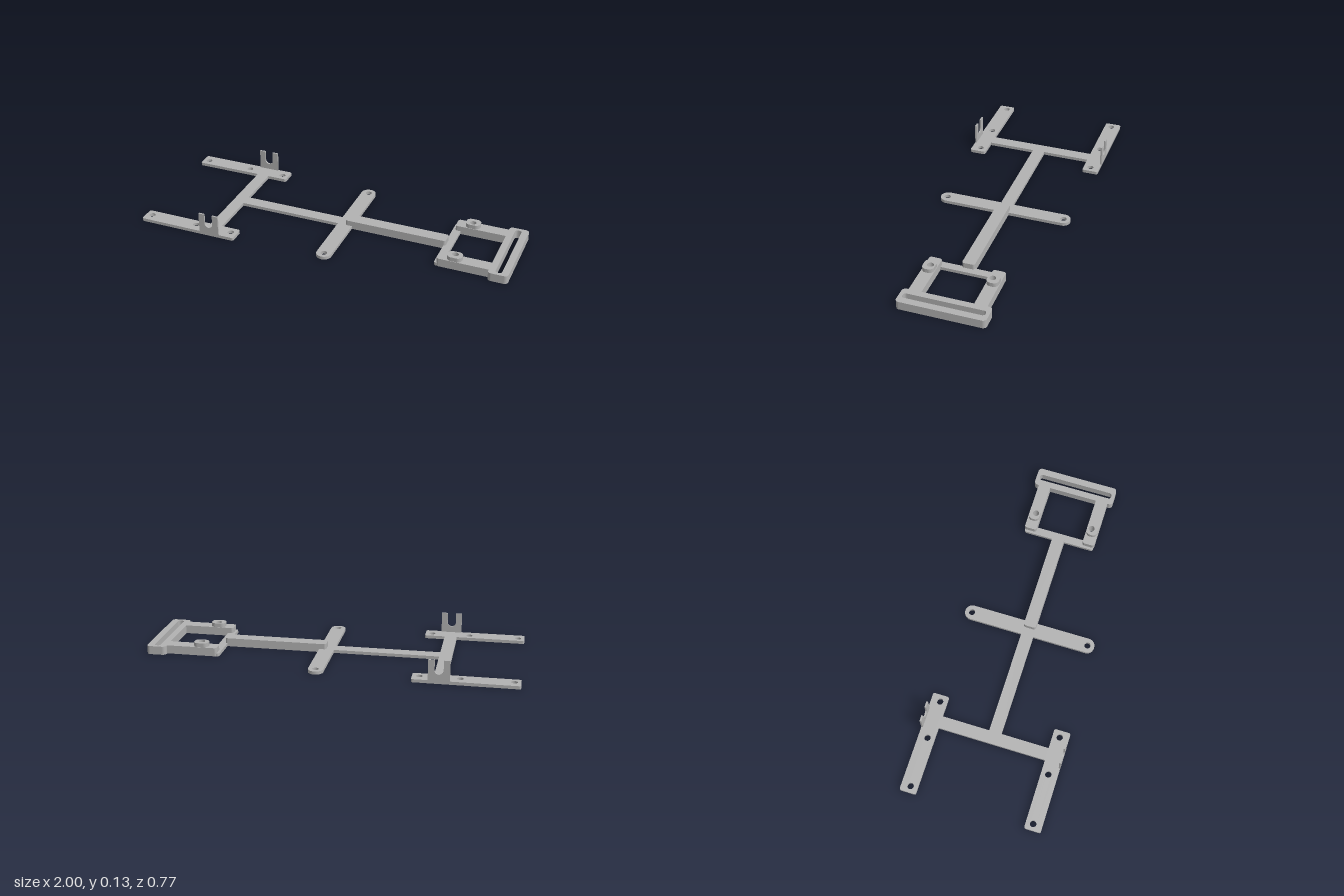
import * as THREE from 'three';

const THIN = 0.017, THICK = 0.046, BOSS = 0.068;

// Rounded rectangle outline in plan (x, z)
function roundRect(Type, x0, x1, z0, z1, r) {
  const s = new Type();
  s.absarc(x1 - r, z0 + r, r, -Math.PI / 2, 0);
  s.absarc(x1 - r, z1 - r, r, 0, Math.PI / 2);
  s.absarc(x0 + r, z1 - r, r, Math.PI / 2, Math.PI);
  s.absarc(x0 + r, z0 + r, r, Math.PI, Math.PI * 1.5);
  s.closePath();
  return s;
}

function circle(x, z, r = 0.017) {
  return new THREE.Path().absarc(x, z, r, 0, Math.PI * 2, true);
}

export function createModel() {
  const model = new THREE.Group();
  const grey = new THREE.MeshStandardMaterial({ color: 0xb2b2b2 });
  grey.name = 'light grey plastic';

  function add(name, geometry) {
    const mesh = new THREE.Mesh(geometry, grey);
    mesh.name = name;
    model.add(mesh);
    return mesh;
  }
  // Flat plate with rounded corners and holes, from height y0 to y1
  function plate(name, [x0, x1, z0, z1], r, y0, y1, holes = []) {
    const shape = roundRect(THREE.Shape, x0, x1, z0, z1, r);
    shape.holes.push(...holes);
    const g = new THREE.ExtrudeGeometry(shape, { depth: y1 - y0, bevelEnabled: false, curveSegments: 10 });
    g.rotateX(Math.PI / 2).translate(0, y1, 0);
    return add(name, g);
  }
  function bar(name, x0, x1, z0, z1, h) {
    const g = new THREE.BoxGeometry(x1 - x0, h, z1 - z0);
    return add(name, g.translate((x0 + x1) / 2, h / 2, (z0 + z1) / 2));
  }

  // Thin spine and crossbars
  bar('rearCrossbar', -0.627, -0.56, -0.297, 0.297, THIN);
  bar('thinSpine', -0.56, 0.011, -0.034, 0.034, THIN);
  plate('middleArm', [0.009, 0.09, -0.368, 0.368], 0.04, 0, THIN, [circle(0.05, -0.33), circle(0.05, 0.33)]);

  // Raised spine leading to the frame
  plate('raisedSpine', [0.052, 0.614, -0.034, 0.034], 0.012, 0, THICK);

  for (const s of [-1, 1]) {
    const side = s > 0 ? 'Front' : 'Back';
    const zs = (a, b) => (s > 0 ? [a, b] : [-b, -a]);

    // Mounting rail with three screw holes
    plate('mountingRail' + side, [-1, -0.45, ...zs(0.294, 0.383)], 0.01, 0, THIN,
      [-0.965, -0.695, -0.487].map((x) => circle(x, s * 0.333)));

    // Upright forked clip on the rail's outer edge
    const fork = new THREE.Shape();
    fork.moveTo(-0.647, 0.005);
    fork.lineTo(-0.535, 0.005);
    fork.lineTo(-0.535, 0.127);
    fork.lineTo(-0.568, 0.127);
    fork.lineTo(-0.568, 0.073);
    fork.absarc(-0.591, 0.073, 0.023, 0, Math.PI, true);
    fork.lineTo(-0.614, 0.127);
    fork.lineTo(-0.647, 0.127);
    fork.closePath();
    const fg = new THREE.ExtrudeGeometry(fork, { depth: 0.009, bevelEnabled: false, curveSegments: 10 });
    add('forkedClip' + side, fg.translate(0, 0, s > 0 ? 0.375 : -0.384));

    // Frame side with a raised screw boss
    const hole = () => [circle(0.706, s * 0.163)];
    plate('frameSide' + side, [0.617, 0.905, ...zs(0.135, 0.203)], 0.012, 0, THICK, hole());
    plate('screwBoss' + side, [0.667, 0.746, ...zs(0.138, 0.2)], 0.025, THICK, BOSS, hole());
  }

  // Frame's low inner bar and slotted outer bar
  plate('frameInnerBar', [0.603, 0.647, -0.2, 0.2], 0.012, 0, THIN);
  plate('slottedBar', [0.892, 0.998, -0.231, 0.231], 0.02, 0, THICK,
    [roundRect(THREE.Path, 0.927, 0.961, -0.212, 0.212, 0.014)]);

  return model;
}
